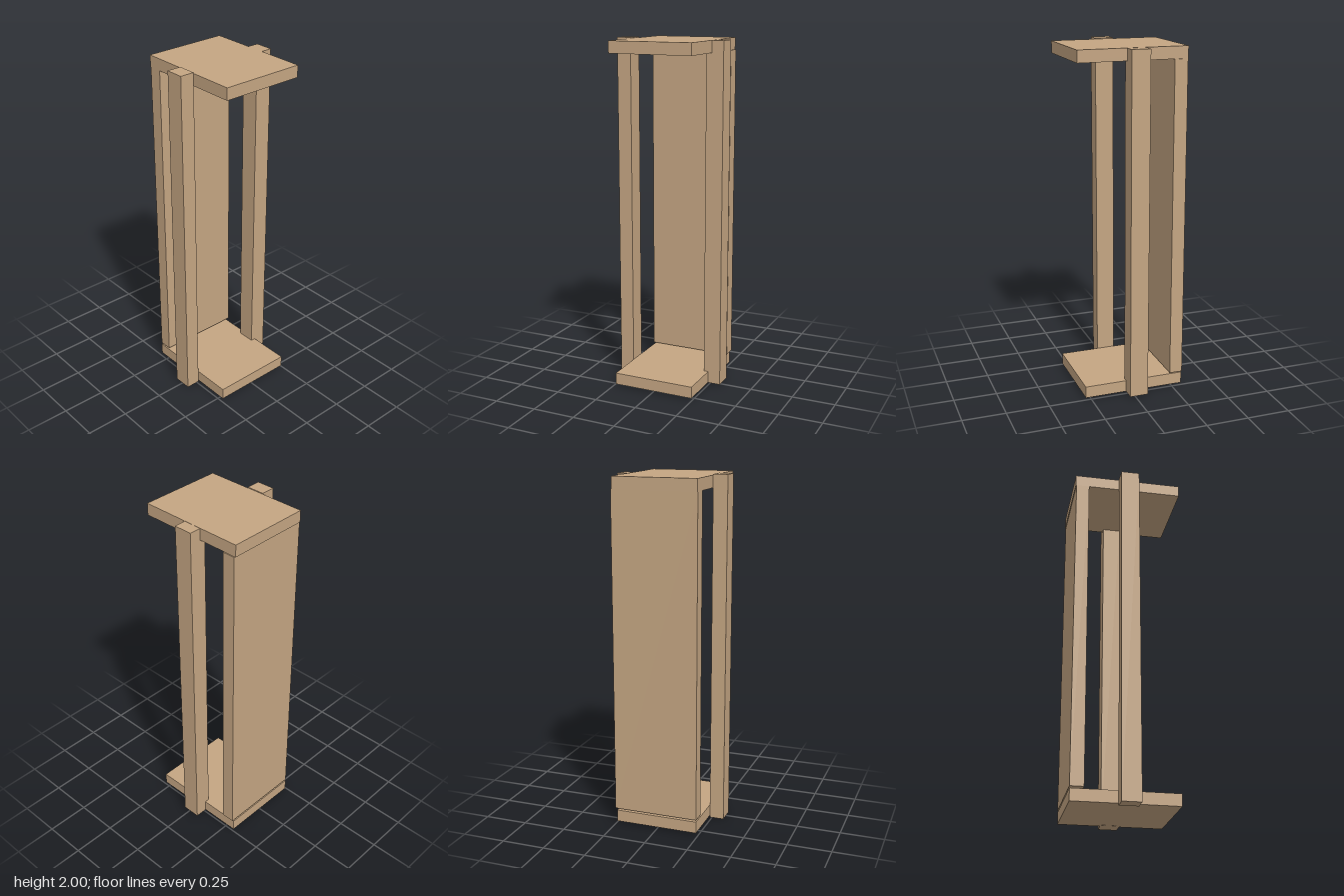
import * as THREE from 'three';

export function createModel() {
  const group = new THREE.Group();
  const wood = new THREE.MeshStandardMaterial({ color: 0xc4a582 });

  // Adds a board spanning the given [min, max] ranges
  function board(name, [x0, x1], [y0, y1], [z0, z1]) {
    const mesh = new THREE.Mesh(new THREE.BoxGeometry(x1 - x0, y1 - y0, z1 - z0), wood);
    mesh.position.set((x0 + x1) / 2, (y0 + y1) / 2, (z0 + z1) / 2);
    mesh.name = name;
    group.add(mesh);
  }

  // Horizontal boards
  board('topBoard', [-0.237, 0.25], [1.927, 1.995], [-0.314, 0.312]);
  board('bottomBoard', [-0.237, 0.245], [0.011, 0.079], [-0.31, 0.281]);

  // Upright back, with a small gap above the bottom board
  board('backPanel', [-0.237, 0.256], [0.09, 1.927], [-0.31, -0.234]);

  // Side posts
  board('rightPost', [-0.32, -0.237], [0, 2], [-0.055, 0.052]);
  board('leftPost', [0.217, 0.318], [0.01, 1.994], [-0.072, 0.035]);

  return group;
}
